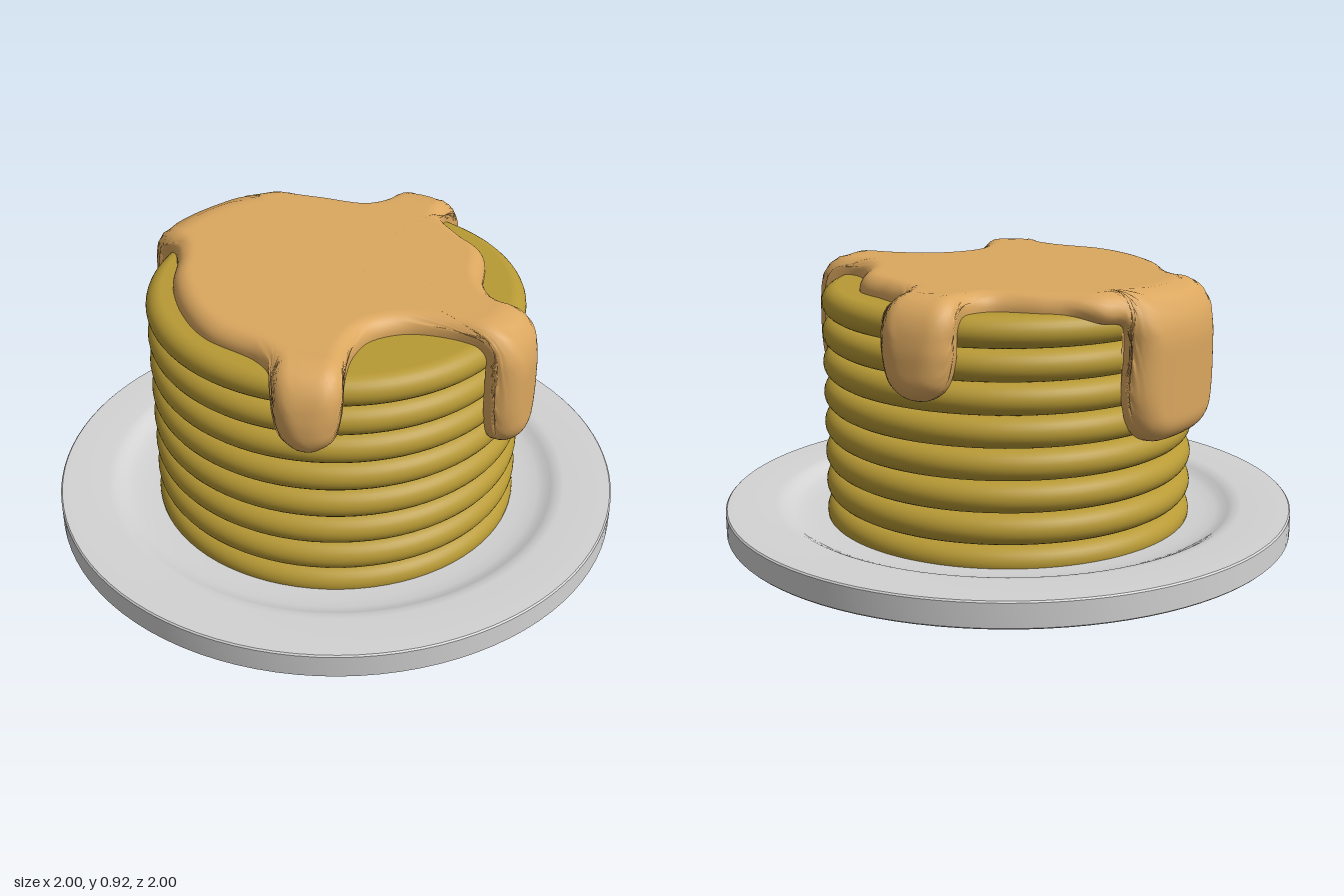
import * as THREE from 'three';
import { toCreasedNormals } from 'three/addons/utils/BufferGeometryUtils.js';

const plateGrey = new THREE.MeshStandardMaterial({ name: 'plate grey', color: 0xd3d3d3 });
const pancakeBrown = new THREE.MeshStandardMaterial({ name: 'pancake golden brown', color: 0xb89a35 });
const syrupAmber = new THREE.MeshStandardMaterial({ name: 'syrup amber', color: 0xdba75f });

const lathe = (pts, segments) =>
  new THREE.LatheGeometry(pts.map(([r, y]) => new THREE.Vector2(r, y)), segments);

// Flat plate with a raised rim and a shallow well
function makePlate() {
  const profile = [
    [0, 0], [0.995, 0], [1, 0.005], [1, 0.085], [0.995, 0.09], [0.83, 0.09], [0.805, 0.087],
    [0.785, 0.077], [0.765, 0.066], [0.74, 0.059], [0.7, 0.054], [0.64, 0.05], [0, 0.05],
  ];
  const mesh = new THREE.Mesh(toCreasedNormals(lathe(profile, 96), 0.6), plateGrey);
  mesh.name = 'plate';
  return mesh;
}

// Disc with a fully rounded edge
function makePancakes() {
  const group = new THREE.Group();
  group.name = 'pancakeStack';
  const half = 0.052, radius = 0.645, profile = [[0, -half]];
  for (let i = 0; i <= 14; i++) {
    const a = -Math.PI / 2 + (i / 14) * Math.PI;
    profile.push([radius - 0.055 + 0.055 * Math.cos(a), half * Math.sin(a)]);
  }
  profile.push([0, half]);
  const geometry = lathe(profile, 80);
  for (let i = 0; i < 8; i++) {
    const pancake = new THREE.Mesh(geometry, pancakeBrown);
    pancake.name = 'pancake' + (i + 1);
    pancake.position.y = 0.06 + i * 0.1068;
    group.add(pancake);
  }
  return group;
}

// Path from the centre of the top, round the edge and down the side;
// s is the distance along it, lift the height above it
function drape(angle, s, lift) {
  const flat = 0.6, bend = 0.05, arc = bend * Math.PI / 2, top = 0.86;
  let r, y;
  if (s < flat) {
    r = s; y = top + lift;
  } else if (s < flat + arc) {
    const a = (s - flat) / bend;
    r = flat + (bend + lift) * Math.sin(a);
    y = top - bend + (bend + lift) * Math.cos(a);
  } else {
    r = flat + bend + lift;
    y = top - bend - (s - flat - arc);
  }
  return new THREE.Vector3(r * Math.cos(angle), y, r * Math.sin(angle));
}

// Outline points of one drip between two angles, reaching down to s
function drip(a0, a1, s, corner) {
  const side = [[0, 0.68], [0.3, s - 0.14], [corner * 0.35, s - 0.05], [corner, s - 0.008]];
  return [
    ...side.map(([a, d]) => [a0 + a, d]),
    [(a0 + a1) / 2, s],
    ...side.reverse().map(([a, d]) => [a1 - a, d]),
  ];
}

// Sheet of syrup with four drips, thickness rounded off towards its outline
function makeSyrup() {
  const outline = [
    ...drip(-142, -102, 1.07, 9),
    [-94, 0.655], [-80, 0.58], [-62.5, 0.54], [-56, 0.6],
    ...drip(-54.5, -33, 0.9, 7),
    [-32, 0.57], [-17, 0.52], [0, 0.53], [23.5, 0.5], [35, 0.56],
    ...drip(37, 58, 1.02, 7),
    [59, 0.61], [62, 0.515], [73, 0.415], [90, 0.41], [99, 0.49], [102.5, 0.6],
    ...drip(103.5, 122.5, 0.86, 6.5),
    [125, 0.615], [132, 0.566], [153, 0.56], [169.5, 0.55], [190.5, 0.55], [207, 0.56], [216, 0.61],
  ].map(([deg, s]) => {
    const a = THREE.MathUtils.degToRad(deg);
    return new THREE.Vector3(s * Math.cos(a), s * Math.sin(a), 0);
  });
  const curve = new THREE.CatmullRomCurve3(outline, true, 'centripetal');
  curve.arcLengthDivisions = 1200;
  const n = 400, rows = 44;
  const edge = curve.getSpacedPoints(n).slice(0, n)
    .map((p) => ({ angle: Math.atan2(p.y, p.x), s: p.length() }));
  const rim = edge.map((e) => drape(e.angle, e.s, 0));

  const positions = [], index = [];
  // Upper face from centre to outline, then the underside back to the centre
  for (let j = 0; j <= 2 * rows; j++) {
    const upper = j <= rows;
    const u = (upper ? j : 2 * rows - j) / rows;
    const k = 1 - Math.pow(1 - u, 1.5);
    for (const { angle, s } of edge) {
      const d = s * k;
      let lift = 0;
      if (upper && j < rows) {
        const base = drape(angle, d, 0);
        let gap = Infinity;
        for (const q of rim) gap = Math.min(gap, base.distanceToSquared(q));
        const thick = THREE.MathUtils.lerp(0.06, 0.085, THREE.MathUtils.smoothstep(d, 0.58, 0.75));
        const t = 1 - Math.min(Math.sqrt(gap) / thick, 1);
        lift = thick * Math.sqrt(1 - t * t);
      } else if (!upper) {
        lift = -0.008;
      }
      positions.push(...drape(angle, d, lift).toArray());
    }
  }
  for (let j = 0; j < 2 * rows; j++) {
    for (let i = 0; i < n; i++) {
      const a = j * n + i, b = j * n + (i + 1) % n;
      index.push(a, b, a + n, b, b + n, a + n);
    }
  }
  const geometry = new THREE.BufferGeometry();
  geometry.setAttribute('position', new THREE.Float32BufferAttribute(positions, 3));
  geometry.setIndex(index);
  geometry.computeVertexNormals();
  const mesh = new THREE.Mesh(geometry, syrupAmber);
  mesh.name = 'syrup';
  return mesh;
}

export function createModel() {
  const model = new THREE.Group();
  model.name = 'pancakesOnPlate';
  model.add(makePlate(), makePancakes(), makeSyrup());
  return model;
}
